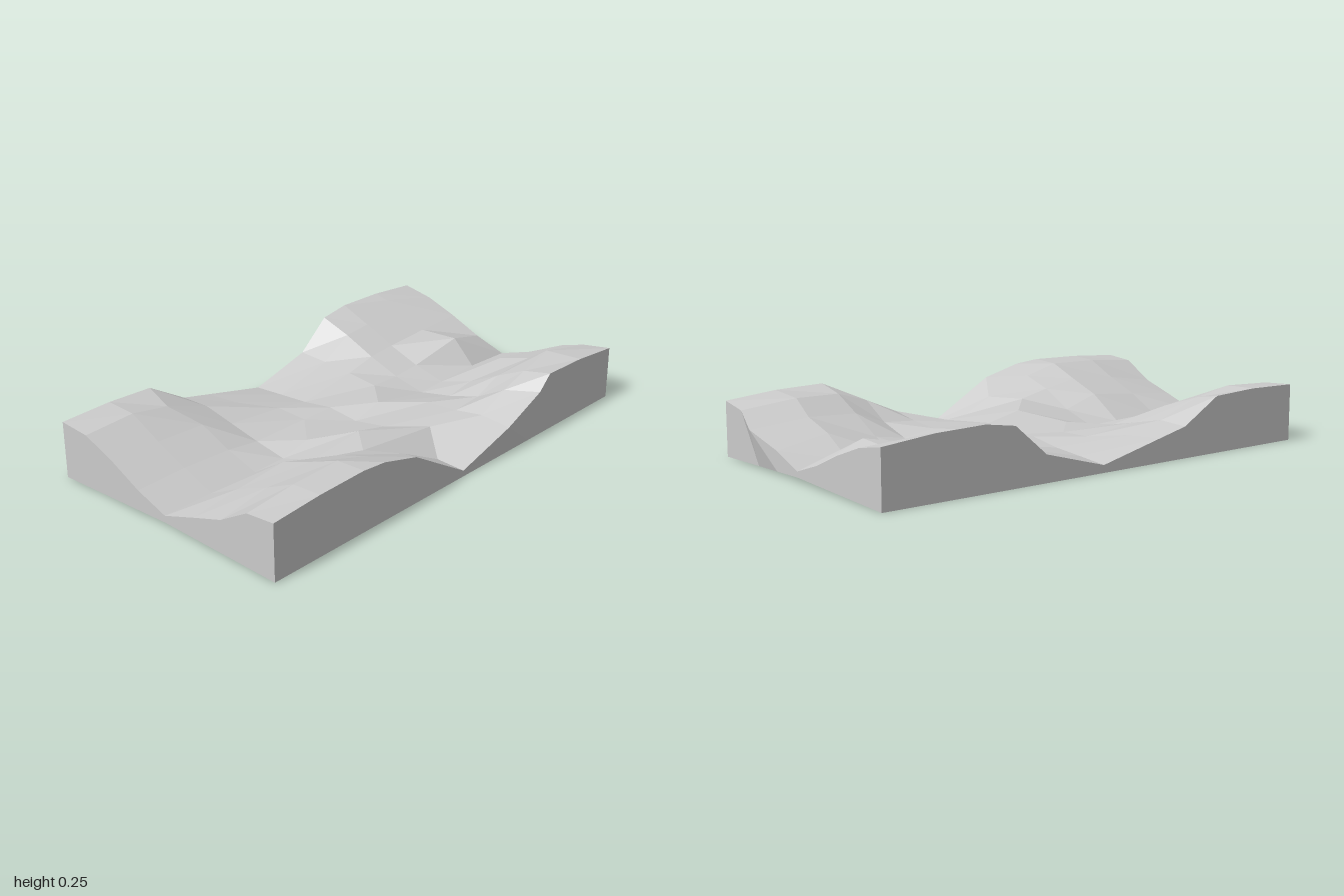
import * as THREE from 'three';

// Grid lines of the terrain
const XS = [-0.555, -0.42, -0.28, -0.14, 0, 0.15, 0.29, 0.42, 0.545];
const ZS = [-0.965, -0.75, -0.54, -0.41, -0.27, 0, 0.28, 0.41, 0.56, 0.78, 1];

// Ground heights, one row per z line: two banks, a valley along z and one across
const HEIGHTS = [
  [0.22, 0.195, 0.145, 0.085, 0.04, 0.09, 0.15, 0.2, 0.22],
  [0.24, 0.225, 0.14, 0.15, 0.05, 0.13, 0.17, 0.23, 0.24],
  [0.245, 0.19, 0.13, 0.08, 0.045, 0.09, 0.16, 0.22, 0.245],
  [0.225, 0.18, 0.12, 0.07, 0.04, 0.07, 0.11, 0.18, 0.19],
  [0.105, 0.1, 0.09, 0.075, 0.09, 0.09, 0.1, 0.12, 0.11],
  [0.03, 0.04, 0.05, 0.07, 0.055, 0.08, 0.085, 0.03, 0.025],
  [0.095, 0.09, 0.075, 0.07, 0.075, 0.115, 0.13, 0.13, 0.19],
  [0.125, 0.13, 0.1, 0.07, 0.045, 0.09, 0.16, 0.2, 0.235],
  [0.226, 0.2, 0.15, 0.09, 0.045, 0.14, 0.19, 0.24, 0.245],
  [0.235, 0.23, 0.16, 0.1, 0.045, 0.12, 0.175, 0.235, 0.24],
  [0.23, 0.22, 0.165, 0.095, 0.045, 0.095, 0.14, 0.215, 0.225],
];

// Points pulled off the regular grid, keyed "row,column": [dx, dz]
const SHIFTS = {
  '0,6': [0, -0.035], '1,1': [-0.07, 0], '1,3': [0.04, 0], '1,7': [-0.04, 0],
  '3,8': [0.005, -0.06], '4,8': [0.008, 0], '4,4': [0, 0.135], '5,6': [0, -0.11],
  '6,1': [0, -0.03], '6,2': [0, -0.13], '6,3': [0, -0.13], '6,5': [0, -0.13],
  '6,7': [0, -0.08], '7,8': [0, 0.04], '8,0': [0, 0.02], '8,1': [0, 0.05],
};

function topPoint(r, c) {
  const [dx, dz] = SHIFTS[`${r},${c}`] || [0, 0];
  return [XS[c] + dx, HEIGHTS[r][c], ZS[r] + dz];
}

// Underside, very slightly arched along the middle
function basePoint(r, c) {
  return [XS[c], 0.017 * (1 - Math.abs(XS[c]) / 0.555), ZS[r]];
}

function facetedMesh(name, positions, material) {
  const geometry = new THREE.BufferGeometry();
  geometry.setAttribute('position', new THREE.Float32BufferAttribute(positions, 3));
  geometry.computeVertexNormals();
  const mesh = new THREE.Mesh(geometry, material);
  mesh.name = name;
  return mesh;
}

export function createModel() {
  const group = new THREE.Group();
  group.name = 'terrainSlab';
  const material = new THREE.MeshStandardMaterial({ color: 0xcccccc, flatShading: true });
  const lastR = ZS.length - 1, lastC = XS.length - 1;
  const ground = [], underside = [], walls = [];

  // Corners run counter-clockwise seen from outside
  const quad = (out, a, b, c, d) => out.push(...a, ...b, ...d, ...b, ...c, ...d);

  // Ground surface and underside
  for (let r = 0; r < lastR; r++) {
    for (let c = 0; c < lastC; c++) {
      quad(ground, topPoint(r, c), topPoint(r + 1, c), topPoint(r + 1, c + 1), topPoint(r, c + 1));
      quad(underside, basePoint(r, c), basePoint(r, c + 1), basePoint(r + 1, c + 1), basePoint(r + 1, c));
    }
  }

  // Walls follow the rim all the way round
  const rim = [];
  for (let r = 0; r < lastR; r++) rim.push([r, 0]);
  for (let c = 0; c < lastC; c++) rim.push([lastR, c]);
  for (let r = lastR; r > 0; r--) rim.push([r, lastC]);
  for (let c = lastC; c > 0; c--) rim.push([0, c]);
  rim.forEach((p, i) => {
    const q = rim[(i + 1) % rim.length];
    quad(walls, basePoint(...p), basePoint(...q), topPoint(...q), topPoint(...p));
  });

  group.add(
    facetedMesh('groundSurface', ground, material),
    facetedMesh('sideWalls', walls, material),
    facetedMesh('underside', underside, material),
  );
  return group;
}
